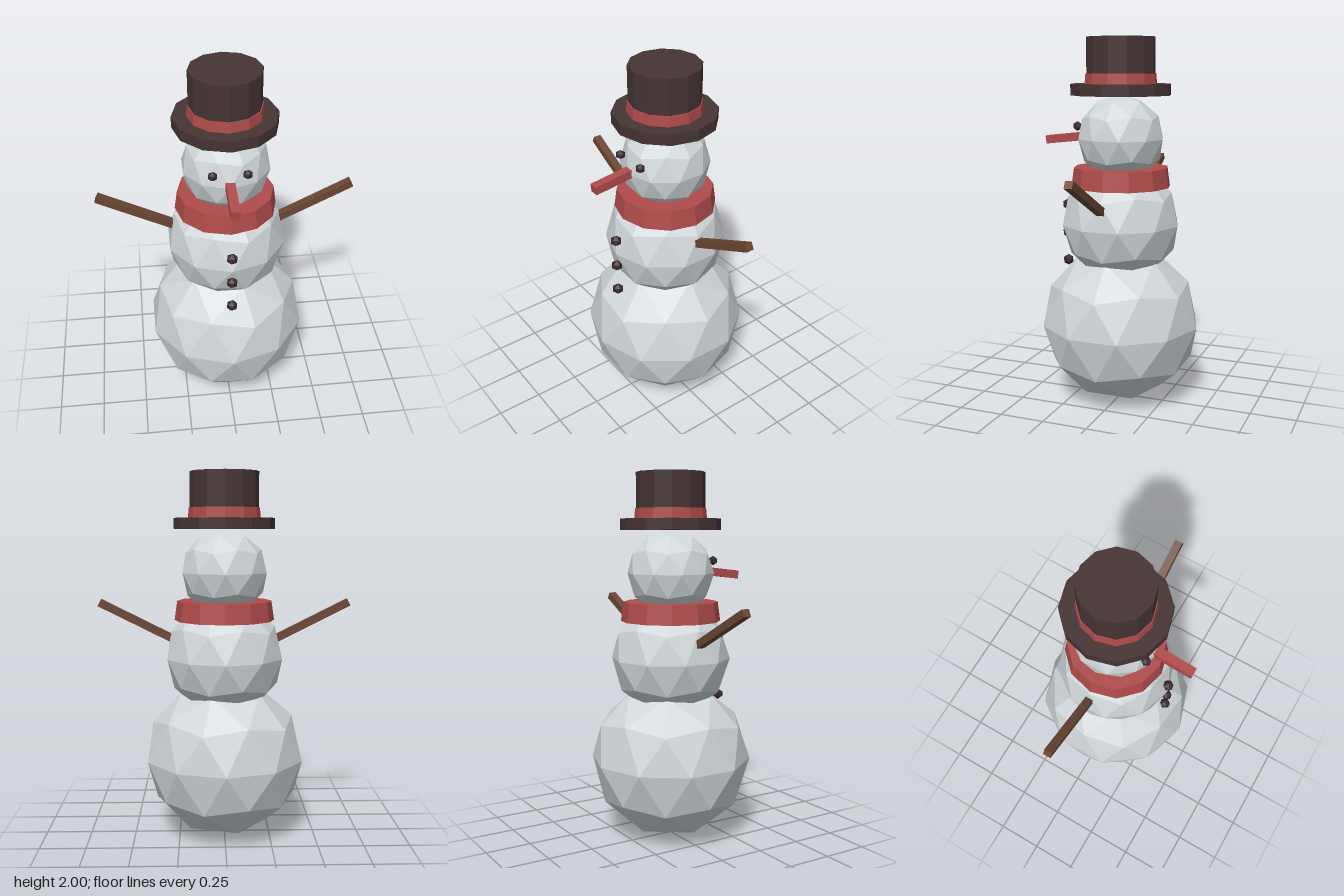
import * as THREE from 'three';

const mat = (name, color) => new THREE.MeshStandardMaterial({ name, color, flatShading: true });

// Icosphere with vertices at its poles and an upper ring vertex on +x
function icoBall(radius, detail) {
  const v = [0, 1, 0];
  const h = 1 / Math.sqrt(5), r = 2 * h;
  for (const [y, start] of [[h, 0], [-h, Math.PI / 5]]) {
    for (let i = 0; i < 5; i++) {
      const a = start + i * Math.PI * 0.4;
      v.push(r * Math.cos(a), y, r * Math.sin(a));
    }
  }
  v.push(0, -1, 0);
  const f = [];
  for (let i = 0; i < 5; i++) {
    const j = (i + 1) % 5;
    const u0 = 1 + i, u1 = 1 + j, l0 = 6 + i, l1 = 6 + j;
    f.push(0, u1, u0, u0, u1, l0, u1, l1, l0, 11, l0, l1);
  }
  return new THREE.PolyhedronGeometry(v, f, radius, detail);
}

export function createModel() {
  const snow = mat('snow', 0xd0d6d9);
  const red = mat('red cloth', 0xb04b4b);
  const dark = mat('dark felt', 0x463434);
  const coal = mat('coal', 0x3a2b2d);
  const wood = mat('wood', 0x6b4733);

  const model = new THREE.Group();
  model.name = 'snowman';
  const add = (name, geometry, material, x, y, z, parent = model) => {
    const mesh = new THREE.Mesh(geometry, material);
    mesh.name = name;
    mesh.position.set(x, y, z);
    parent.add(mesh);
    return mesh;
  };
  // Twelve-sided ring between two heights
  const drum = (name, top, bottom, y0, y1, material) =>
    add(name, new THREE.CylinderGeometry(top, bottom, y1 - y0, 12), material, 0, (y0 + y1) / 2, 0);

  // Three stacked snowballs
  add('lowerBody', icoBall(0.44, 1), snow, 0, 0.44, 0);
  add('upperBody', icoBall(0.325, 1), snow, 0, 1.0, 0);
  add('head', icoBall(0.236, 1), snow, 0, 1.463, 0);

  // Scarf and top hat
  drum('scarf', 0.257, 0.272, 1.205, 1.31, red);
  drum('hatBrim', 0.272, 0.272, 1.695, 1.755, dark);
  drum('hatBand', 0.191, 0.196, 1.755, 1.81, red);
  drum('hatCrown', 0.186, 0.186, 1.75, 2.0, dark);

  // Nose, sloping slightly down toward its tip
  const nose = add('nose', new THREE.BoxGeometry(0.048, 0.045, 0.28), red, 0, 1.461, 0.3);
  nose.rotation.x = 0.115;

  // Buttons
  for (const y of [1.085, 0.925, 0.765]) add('button', icoBall(0.031, 0), coal, 0, y, 0.32);

  // Eyes and stick arms on both sides
  for (const [side, s] of [['left', 1], ['right', -1]]) {
    add(side + 'Eye', icoBall(0.026, 0), coal, s * 0.088, 1.53, 0.217);
    const arm = add(side + 'Arm', new THREE.BoxGeometry(0.5, 0.04, 0.043), wood, s * 0.455, 1.189, 0);
    arm.rotation.z = s * 0.465;
  }
  return model;
}
